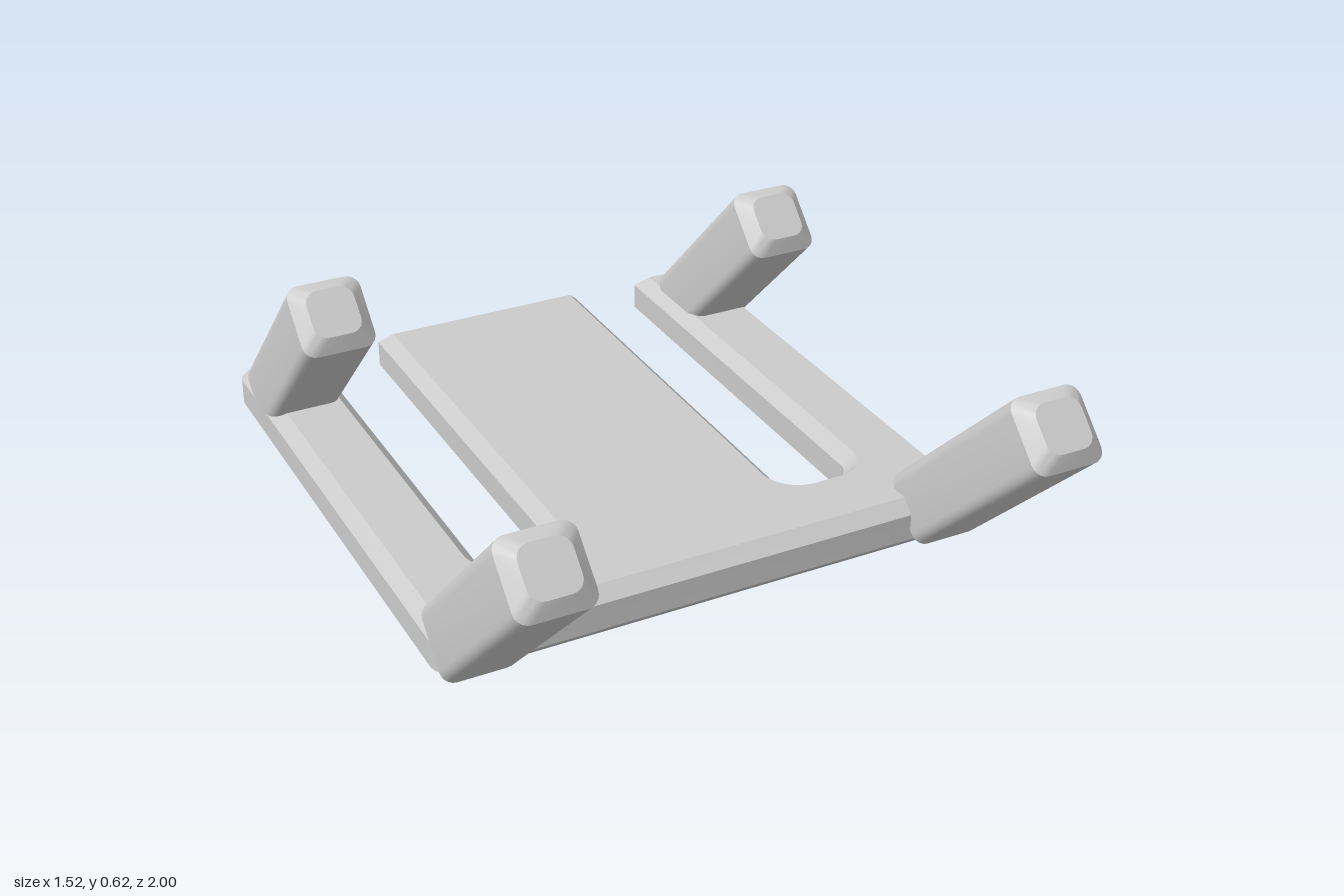
import * as THREE from 'three';
import { toCreasedNormals } from 'three/addons/utils/BufferGeometryUtils.js';

const BEVEL = 0.035;

// Flat plate with two slots open to the rear; shape y becomes world z
function plateGeometry() {
  const W = 0.76, F = 0.52, B = -1, r = 0.05;
  const s = new THREE.Shape();
  s.moveTo(-W + r, B);
  // slots, left to right along the rear edge
  for (const [a, b] of [[-0.53, -0.325], [0.325, 0.53]]) {
    const end = 0.285, q = 0.065;
    s.lineTo(a, B);
    s.lineTo(a, end - q);
    s.absarc(a + q, end - q, q, Math.PI, Math.PI / 2, true);
    s.lineTo(b - q, end);
    s.absarc(b - q, end - q, q, Math.PI / 2, 0, true);
    s.lineTo(b, B);
  }
  // outer corners
  s.lineTo(W - r, B);
  s.absarc(W - r, B + r, r, -Math.PI / 2, 0, false);
  s.lineTo(W, F - r);
  s.absarc(W - r, F - r, r, 0, Math.PI / 2, false);
  s.lineTo(-W + r, F);
  s.absarc(-W + r, F - r, r, Math.PI / 2, Math.PI, false);
  s.lineTo(-W, B + r);
  s.absarc(-W + r, B + r, r, Math.PI, Math.PI * 1.5, false);

  const g = new THREE.ExtrudeGeometry(s, {
    depth: 0.075, curveSegments: 6, bevelEnabled: true, bevelSegments: 1,
    bevelSize: BEVEL, bevelThickness: BEVEL, bevelOffset: -BEVEL,
  });
  g.rotateX(Math.PI / 2);
  g.translate(0, 0.11, 0);
  return toCreasedNormals(g, 0.6);
}

// Square bar with rounded long edges and chamfered ends, along +y
function legGeometry(length) {
  const half = 0.1, r = 0.035, steps = 5;
  const low = 0.0175;
  const rings = [[0, low], [low, 0], [length - BEVEL, 0], [length, BEVEL]]; // [height, inset]
  const pos = [], idx = [];
  const n = 4 * (steps + 1);
  for (const [y, inset] of rings) {
    const c = half - inset - r;
    for (let k = 0; k < 4; k++) {
      const mid = Math.PI / 4 + k * Math.PI / 2;
      for (let i = 0; i <= steps; i++) {
        const a = (k + i / steps) * Math.PI / 2;
        pos.push(Math.sign(Math.cos(mid)) * c + r * Math.cos(a), y,
          Math.sign(Math.sin(mid)) * c + r * Math.sin(a));
      }
    }
  }
  for (let j = 0; j < rings.length - 1; j++) {
    for (let i = 0; i < n; i++) {
      const a = j * n + i, b = j * n + (i + 1) % n;
      idx.push(a, a + n, b, b, a + n, b + n);
    }
  }
  // end caps
  const top = (rings.length - 1) * n;
  for (let i = 1; i < n - 1; i++) {
    idx.push(0, i, i + 1, top, top + i + 1, top + i);
  }
  const g = new THREE.BufferGeometry();
  g.setAttribute('position', new THREE.Float32BufferAttribute(pos, 3));
  g.setIndex(idx);
  return toCreasedNormals(g, 0.6);
}

export function createModel() {
  const group = new THREE.Group();
  group.name = 'slottedPlateWithLegs';
  const material = new THREE.MeshStandardMaterial({ color: 0xcccccc });

  const plate = new THREE.Mesh(plateGeometry(), material);
  plate.name = 'slottedPlate';
  group.add(plate);

  // four bars leaning forward at 45 degrees
  const leg = legGeometry(0.686);
  for (const [end, z] of [['front', 0.47], ['back', -0.85]]) {
    for (const [side, x] of [['Left', 0.66], ['Right', -0.66]]) {
      const m = new THREE.Mesh(leg, material);
      m.name = `${end}${side}Leg`;
      m.position.set(x, 0.09, z);
      m.rotation.x = Math.PI / 4;
      group.add(m);
    }
  }
  return group;
}
